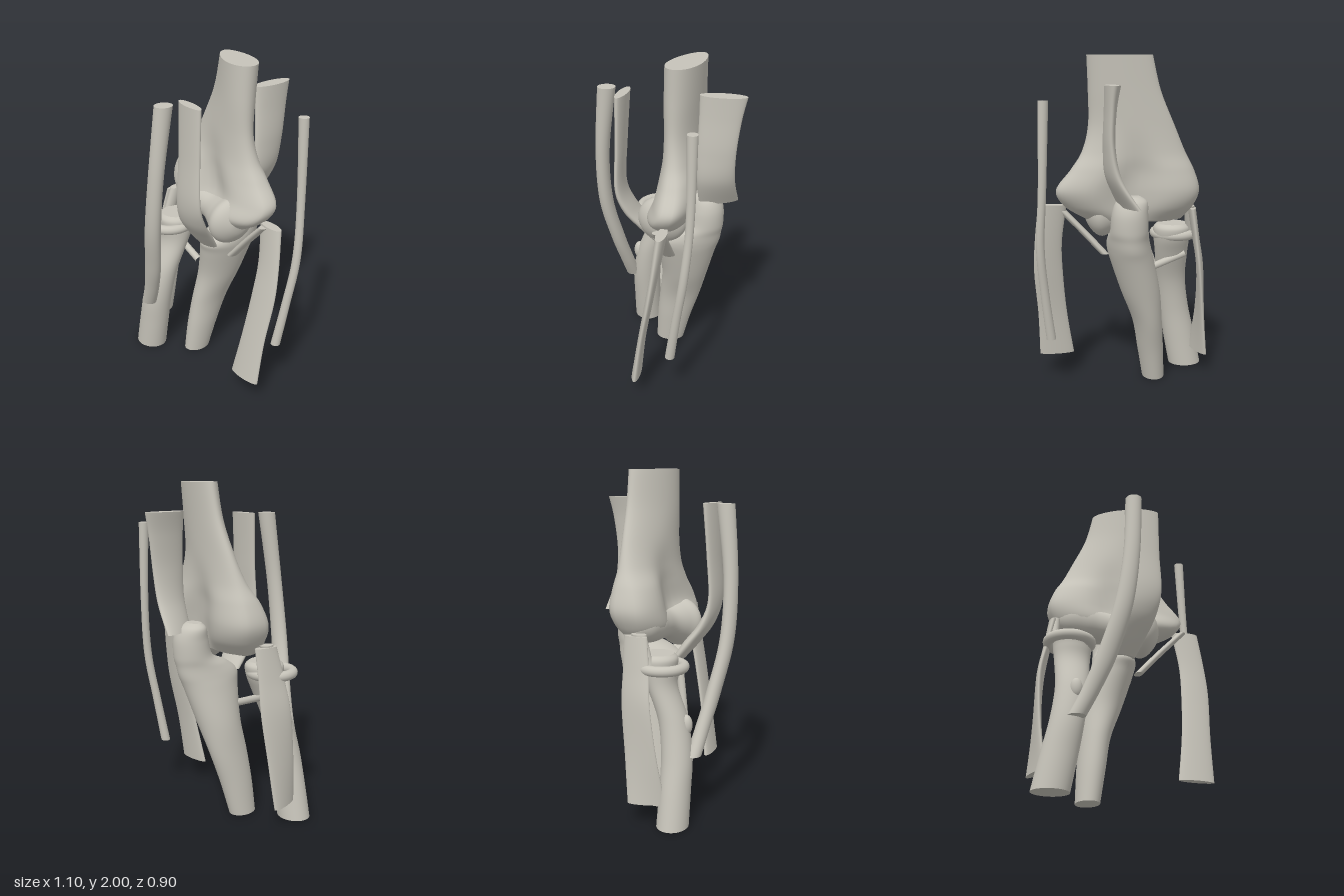
import * as THREE from 'three';

const bone = new THREE.MeshStandardMaterial({ color: 0xc6c3b9 });
bone.name = 'bone grey';

// Smooth loft through level sections [x, y, z, rx, rz, turn, pinch, taper], closed by flat caps.
// pinch thins the middle of the section into a blunt dumbbell, taper thins its +x end.
function loftGeometry(sections, sides = 48, steps = 8) {
  const keys = sections
    .map(s => [...s, 0, 0, 0].slice(0, 8))
    .sort((a, b) => a[1] - b[1]);
  const at = (i, k) => keys[Math.min(Math.max(i, 0), keys.length - 1)][k];
  const rings = [];
  for (let i = 0; i < keys.length - 1; i++) {
    for (let s = i ? 1 : 0; s <= steps; s++) {
      const t = s / steps;
      rings.push(keys[0].map((_, k) => {
        const p0 = at(i - 1, k), p1 = at(i, k), p2 = at(i + 1, k), p3 = at(i + 2, k);
        return p1 + 0.5 * t * (p2 - p0 + t * (2 * p0 - 5 * p1 + 4 * p2 - p3 + t * (3 * (p1 - p2) + p3 - p0)));
      }));
    }
  }
  const pos = [], index = [];
  const addRing = ([x, y, z, rx, rz, turn, pinch, taper]) => {
    for (let j = 0; j < sides; j++) {
      const a = (j / sides) * Math.PI * 2, u = Math.cos(a), v = Math.sin(a);
      const px = rx * u;
      const blunt = Math.sign(v) * Math.abs(v) ** (1 - 0.6 * Math.max(pinch, 0));
      const pz = rz * blunt * (1 - pinch * Math.exp(-((u / 0.35) ** 2))) * (1 - taper * u);
      pos.push(
        x + px * Math.cos(turn) - pz * Math.sin(turn), y,
        z + px * Math.sin(turn) + pz * Math.cos(turn));
    }
  };
  rings.forEach(addRing);
  for (let i = 0; i < rings.length - 1; i++) {
    for (let j = 0; j < sides; j++) {
      const a = i * sides + j, b = i * sides + (j + 1) % sides;
      index.push(a, a + sides, b, b, a + sides, b + sides);
    }
  }
  for (const top of [false, true]) {
    const ring = top ? rings[rings.length - 1] : rings[0];
    const start = pos.length / 3;
    addRing(ring);
    pos.push(ring[0], ring[1], ring[2]);
    for (let j = 0; j < sides; j++) {
      const a = start + j, b = start + (j + 1) % sides;
      index.push(start + sides, top ? b : a, top ? a : b);
    }
  }
  const geo = new THREE.BufferGeometry();
  geo.setAttribute('position', new THREE.Float32BufferAttribute(pos, 3));
  geo.setIndex(index);
  geo.computeVertexNormals();
  return geo;
}

export function createModel() {
  const group = new THREE.Group();
  const add = (name, geo) => {
    const mesh = new THREE.Mesh(geo, bone);
    mesh.name = name;
    group.add(mesh);
    return mesh;
  };
  const loft = (name, sections) => add(name, loftGeometry(sections));

  // Upper arm bone, flaring into two columns
  loft('upperArmBone', [
    [0.045, 2.0, -0.115, 0.193, 0.088, 0.38, 0, -0.2],
    [0.017, 1.8, -0.11, 0.213, 0.088, 0.34, 0, -0.2],
    [-0.025, 1.6, -0.105, 0.253, 0.092, 0.25, 0, -0.1],
    [-0.04, 1.45, -0.1, 0.302, 0.107, 0.16, 0.2],
    [-0.035, 1.34, -0.09, 0.365, 0.135, 0.09, 0.45, 0.15],
    [-0.01, 1.22, -0.075, 0.425, 0.155, 0.08, 0.55, 0.22],
    [-0.02, 1.12, -0.05, 0.385, 0.155, 0.12, 0.45, 0.12],
    [-0.05, 1.04, -0.045, 0.29, 0.105, 0.12, 0.2, 0.05],
  ]);

  // Spool-shaped joint surface across the lower end
  const from = new THREE.Vector3(-0.4, 1.14, -0.07);
  const axis = new THREE.Vector3(0.24, 1.06, 0.03).sub(from).normalize();
  const profile = new THREE.SplineCurve([
    [0, 0], [0.06, 0.03], [0.1, 0.1], [0.105, 0.2], [0.095, 0.28],
    [0.09, 0.38], [0.12, 0.48], [0.148, 0.55], [0.125, 0.6], [0.06, 0.64], [0, 0.65],
  ].map(p => new THREE.Vector2(...p))).getPoints(50);
  profile.forEach(p => { p.x = Math.max(p.x, 0); });
  const spool = add('jointSpool', new THREE.LatheGeometry(profile, 40));
  spool.position.copy(from);
  spool.quaternion.setFromUnitVectors(new THREE.Vector3(0, 1, 0), axis);

  // Outer forearm bone with its round head and tuberosity
  loft('outerForearmBone', [
    [-0.445, 0, 0.2, 0.105, 0.092],
    [-0.405, 0.2, 0.2, 0.103, 0.09],
    [-0.365, 0.4, 0.195, 0.097, 0.09],
    [-0.335, 0.6, 0.16, 0.095, 0.085],
    [-0.32, 0.78, 0.09, 0.103, 0.085],
    [-0.315, 0.88, 0.065, 0.112, 0.105],
    [-0.315, 0.95, 0.06, 0.115, 0.115],
    [-0.315, 0.98, 0.06, 0.09, 0.09],
  ]);
  const bump = add('tuberosity', new THREE.SphereGeometry(1, 24, 16));
  bump.scale.set(0.035, 0.06, 0.035);
  bump.position.set(-0.33, 0.575, 0.24);

  // Inner forearm bone: shaft, front lip, notch and elbow point
  loft('innerForearmBone', [
    [-0.19, 0, 0.01, 0.068, 0.09],
    [-0.165, 0.2, -0.02, 0.08, 0.11],
    [-0.135, 0.4, -0.06, 0.09, 0.13],
    [-0.085, 0.6, -0.095, 0.118, 0.145],
    [-0.03, 0.8, -0.105, 0.13, 0.185],
    [-0.01, 0.88, -0.11, 0.13, 0.205],
    [0, 0.94, -0.15, 0.122, 0.175],
    [0.005, 1.0, -0.215, 0.112, 0.12],
    [0.005, 1.1, -0.232, 0.106, 0.102],
    [-0.005, 1.17, -0.23, 0.092, 0.078],
    [-0.01, 1.2, -0.22, 0.05, 0.04],
  ]);

  // Ring ligament around the bone head
  const ring = add('ringLigament', new THREE.TorusGeometry(0.125, 0.03, 16, 48));
  ring.rotation.x = Math.PI / 2;
  ring.position.set(-0.34, 0.91, 0.095);

  // Long round front tendon
  loft('frontTendon', [
    [-0.03, 1.81, 0.36, 0.05, 0.053],
    [-0.06, 1.4, 0.405, 0.05, 0.042],
    [-0.11, 1.05, 0.405, 0.055, 0.042],
    [-0.19, 0.75, 0.355, 0.058, 0.042],
    [-0.265, 0.55, 0.315, 0.052, 0.042],
    [-0.335, 0.4, 0.288, 0.05, 0.043],
  ]);

  // Flat muscle straps
  loft('frontStrap', [
    [0.06, 1.81, 0.25, 0.108, 0.03, 0.15],
    [0.065, 1.5, 0.265, 0.1, 0.026, 0.1],
    [0.065, 1.25, 0.275, 0.105, 0.028, 0.05],
    [0.04, 1.1, 0.23, 0.11, 0.04, 0],
    [0.01, 0.98, 0.145, 0.1, 0.045, 0],
    [-0.01, 0.88, 0.07, 0.08, 0.035, 0],
  ]);
  loft('backStrap', [
    [0.12, 1.835, -0.32, 0.045, 0.132, 0.05],
    [0.13, 1.7, -0.305, 0.034, 0.118, 0.05],
    [0.135, 1.5, -0.29, 0.032, 0.11, 0],
    [0.11, 1.32, -0.29, 0.036, 0.11, -0.15],
    [0.022, 1.15, -0.305, 0.032, 0.12, -0.35],
  ]);
  loft('innerStrap', [
    [0.435, 1.13, -0.02, 0.085, 0.03, 0.1],
    [0.46, 0.9, 0.015, 0.082, 0.024, 0.05],
    [0.46, 0.7, 0.05, 0.088, 0.023, 0],
    [0.435, 0.42, 0.1, 0.09, 0.022, 0],
    [0.408, 0.14, 0.14, 0.108, 0.028, 0],
  ]);
  loft('outerStrap', [
    [-0.415, 1.09, -0.035, 0.025, 0.075, 0.15],
    [-0.45, 0.9, -0.02, 0.022, 0.088, 0.2],
    [-0.482, 0.7, -0.01, 0.022, 0.1, 0.25],
    [-0.495, 0.4, 0.025, 0.022, 0.1, 0.05],
    [-0.495, 0.13, 0.06, 0.026, 0.11, -0.25],
  ]);

  // Thin nerve cord on the inner side
  loft('innerCord', [
    [0.49, 1.75, -0.19, 0.03, 0.03],
    [0.505, 1.25, -0.185, 0.024, 0.024],
    [0.52, 0.9, -0.155, 0.025, 0.025],
    [0.495, 0.6, -0.11, 0.026, 0.026],
    [0.46, 0.31, -0.07, 0.029, 0.029],
  ]);

  // Short side ligaments
  loft('innerLigament', [
    [0.405, 1.12, 0.0, 0.026, 0.038],
    [0.26, 0.97, -0.01, 0.026, 0.035],
    [0.125, 0.82, -0.02, 0.026, 0.038],
  ]);
  loft('outerLigament', [
    [-0.405, 1.1, -0.02, 0.03, 0.045],
    [-0.425, 0.91, 0.04, 0.025, 0.04],
  ]);
  const crossPath = new THREE.LineCurve3(
    new THREE.Vector3(-0.14, 0.69, 0.03), new THREE.Vector3(-0.39, 0.79, 0.02));
  add('crossLigament', new THREE.TubeGeometry(crossPath, 4, 0.022, 16));

  return group;
}
